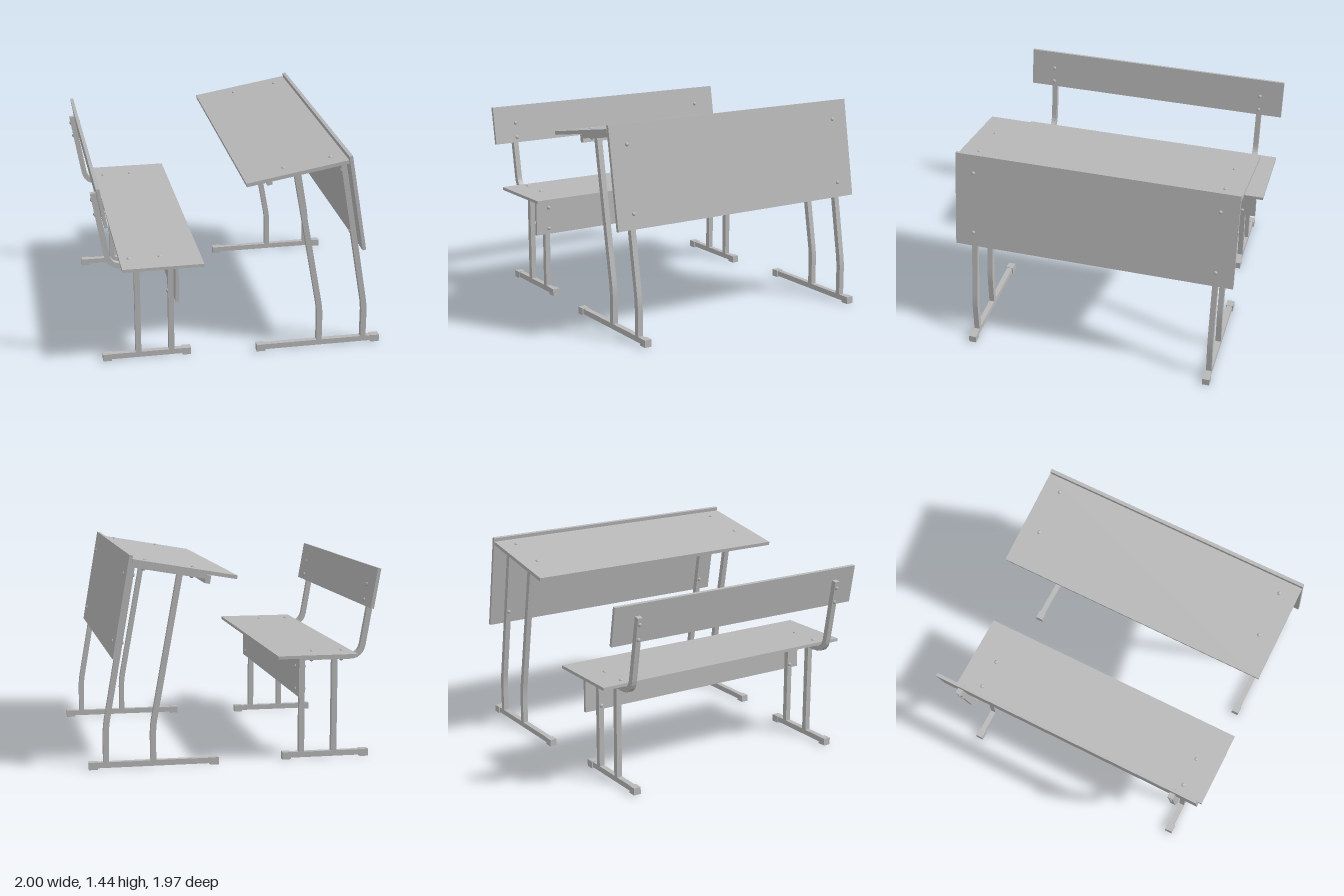
import * as THREE from 'three';

const TUBE = 0.038, TILT = THREE.MathUtils.degToRad(9.8);

export function createModel() {
  const grey = new THREE.MeshStandardMaterial({ color: 0xb8b8b8 });
  grey.name = 'plain grey';
  const model = new THREE.Group();
  model.name = 'schoolDeskAndBench';

  const group = (name, parent) => {
    const g = new THREE.Group();
    g.name = name;
    parent.add(g);
    return g;
  };
  const box = (name, parent, w, h, d, x, y, z = 0, tilt = 0) => {
    const m = new THREE.Mesh(new THREE.BoxGeometry(w, h, d), grey);
    m.name = name;
    m.position.set(x, y, z);
    m.rotation.z = tilt;
    parent.add(m);
    return m;
  };

  // Square tube following [x, y, bendRadius] points in the XY plane
  const tube = (name, parent, points, z) => {
    const path = [];
    points.forEach(([x, y, r], i) => {
      const p = new THREE.Vector2(x, y);
      if (!r) return path.push(p);
      const toward = (q) => new THREE.Vector2(q[0], q[1]).sub(p).setLength(r).add(p);
      const bend = new THREE.QuadraticBezierCurve(toward(points[i - 1]), p, toward(points[i + 1]));
      path.push(...bend.getPoints(6));
    });
    const left = [], right = [];
    path.forEach((p, i) => {
      const a = p.clone().sub(path[Math.max(i - 1, 0)]).normalize();
      const b = path[Math.min(i + 1, path.length - 1)].clone().sub(p).normalize();
      const dir = a.clone().add(b).normalize();
      const ref = i ? a : b;
      const n = new THREE.Vector2(-dir.y, dir.x).multiplyScalar(TUBE / 2 / dir.dot(ref));
      left.push(p.clone().add(n));
      right.unshift(p.clone().sub(n));
    });
    const geo = new THREE.ExtrudeGeometry(new THREE.Shape([...left, ...right]),
      { depth: TUBE, bevelEnabled: false });
    const m = new THREE.Mesh(geo.translate(0, 0, -TUBE / 2), grey);
    m.name = name;
    m.position.z = z;
    parent.add(m);
  };

  // Domed bolt heads on both ends of a bolt through board and tube
  const domeGeo = new THREE.SphereGeometry(0.014, 12, 5, 0, Math.PI * 2, 0, Math.PI / 2).scale(1, 0.75, 1);
  const bolt = (parent, x, y, z, angle, up, down) => {
    const g = group('bolt', parent);
    g.position.set(x, y, z);
    g.rotation.z = angle;
    for (const [offset, flip] of [[up, 0], [-down, Math.PI]]) {
      const head = new THREE.Mesh(domeGeo, grey);
      head.name = 'boltHead';
      head.position.y = offset;
      head.rotation.x = flip;
      g.add(head);
    }
  };

  // Floor runner with an end cap at each tip
  const runner = (parent, x0, x1, z) => {
    box('floorRunner', parent, x1 - x0 - 0.06, TUBE, TUBE, (x0 + x1) / 2, 0.028, z);
    for (const x of [x0 + 0.03, x1 - 0.03]) box('endCap', parent, 0.06, 0.05, 0.052, x, 0.025, z);
  };

  // ---- Desk ----
  const desk = group('desk', model);
  box('deskTop', desk, 0.7, 0.025, 1.968, 0.362, 1.342, 0, TILT);
  box('deskFrontPanel', desk, 0.024, 0.692, 1.968, 0.776, 1.099, 0, TILT);
  box('deskCrossbeam', desk, 0.036, 0.056, 1.75, 0.193, 1.26, 0, TILT);
  for (const s of [-1, 1]) {
    const z = s * 0.857, frame = group('deskSideFrame', desk);
    runner(frame, 0.12, 1.0, z);
    tube('deskRailAndRearLeg', frame,
      [[0.2, 1.282], [0.697, 1.368], [0.884, 0.28, 0.06], [0.884, 0.045]], z);
    tube('deskFrontLeg', frame, [[0.382, 1.296], [0.566, 0.28, 0.06], [0.566, 0.045]], z);
    for (const x of [0.292, 0.612])
      bolt(frame, x, 1.342 + (x - 0.362) * Math.tan(TILT), z, TILT, 0.0125, 0.051);
    for (const y of [1.307, 0.86])
      bolt(frame, 0.776 - (y - 1.099) * Math.tan(TILT), y, z, TILT - Math.PI / 2, 0.012, 0.051);
  }

  // ---- Bench ----
  const bench = group('bench', model);
  box('benchSeat', bench, 0.55, 0.021, 1.968, -0.54, 0.735);
  box('benchApron', bench, 0.023, 0.275, 1.82, -0.439, 0.584);
  box('backrest', bench, 0.023, 0.276, 1.968, -0.934, 1.187, 0, TILT);
  for (const s of [-1, 1]) {
    const z = s * 0.81, frame = group('benchSideFrame', bench);
    runner(frame, -0.945, -0.335, z);
    tube('backPostRailAndFrontLeg', frame,
      [[-0.975, 1.235], [-0.884, 0.705, 0.085], [-0.47, 0.705], [-0.47, 0.045]], z);
    box('benchRearLeg', frame, TUBE, 0.645, TUBE, -0.7, 0.367, z);
    for (const x of [-0.75, -0.54]) bolt(frame, x, 0.735, z, 0, 0.0105, 0.05);
    for (const y of [0.644, 0.488]) bolt(frame, -0.439, y, z, -Math.PI / 2, 0.0115, 0.05);
    for (const y of [1.195, 1.09])
      bolt(frame, -0.934 - (y - 1.187) * Math.tan(TILT), y, z, TILT - Math.PI / 2, 0.0115, 0.05);
  }
  return model;
}
